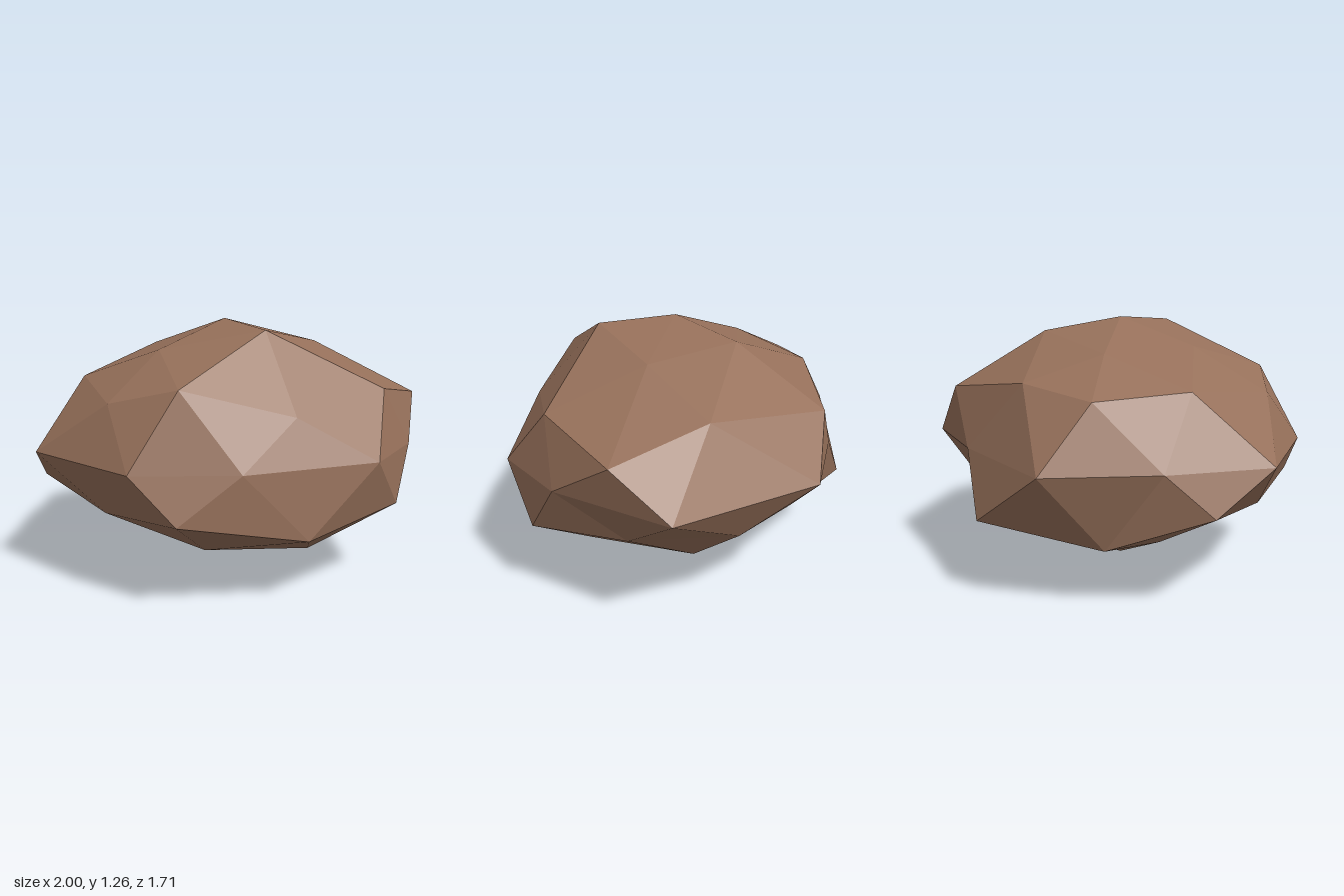
import * as THREE from 'three';

// Rings of the boulder from top to bottom; each runs from +x towards +z.
const top = [-0.06, 1.265, 0];
const crown = [[0.41, 1.145, 0], [0.1, 1.235, 0.355], [-0.4, 1.135, 0.23], [-0.41, 1.12, -0.25], [0.1, 1.195, -0.35]];
const shoulder = [[0.955, 0.865, 0], [0.2, 0.875, 0.66], [-0.64, 0.925, 0.5], [-0.7, 0.955, -0.44], [0.195, 0.925, -0.8]];
const shoulderMid = [[0.67, 0.955, 0.41], [-0.325, 1.012, 0.68], [-0.78, 0.98, 0], [-0.35, 1.0, -0.625], [0.66, 0.995, -0.36]];
const waist = [
  [0.84, 0.315], [0.585, 0.665], [-0.06, 0.815], [-0.555, 0.765], [-1, 0.3],
  [-0.905, -0.2], [-0.72, -0.7], [-0.06, -0.815], [0.44, -0.825], [0.997, -0.29],
].map(([x, z]) => [x, 0.66, z]);
const hip = [[0.735, 0.4, 0.48], [-0.35, 0.445, 0.85], [-1, 0.465, 0], [-0.33, 0.38, -0.855], [0.585, 0.42, -0.49]];
const hipMid = [[0.735, 0.395, 0], [0.245, 0.33, 0.77], [-0.67, 0.39, 0.45], [-0.715, 0.29, -0.39], [0.187, 0.4, -0.67]];
const base = [[0.33, 0.125, 0.335], [-0.2, 0.17, 0.42], [-0.5, 0.2, 0], [-0.2, 0.24, -0.44], [0.315, 0.108, -0.205]];
const bottom = [-0.06, 0, 0];

export function createModel() {
  const points = [];
  // One large triangle split in four by the points along its edges
  const facet = (a, b, c, ab, bc, ca) => {
    for (const p of [a, ab, ca, ab, b, bc, ca, bc, c, ab, bc, ca]) points.push(...p);
  };

  for (let k = 0; k < 5; k++) {
    const next = (k + 1) % 5, prev = (k + 4) % 5;
    const w = waist[2 * k], wNext = waist[2 * k + 1], wPrev = waist[(2 * k + 9) % 10];
    facet(top, shoulder[next], shoulder[k], crown[next], shoulderMid[k], crown[k]);
    facet(shoulder[k], shoulder[next], hip[k], shoulderMid[k], wNext, w);
    facet(hip[k], hip[prev], shoulder[k], hipMid[k], wPrev, w);
    facet(bottom, hip[prev], hip[k], base[prev], hipMid[k], base[k]);
  }

  const geometry = new THREE.BufferGeometry();
  geometry.setAttribute('position', new THREE.Float32BufferAttribute(points, 3));
  geometry.computeVertexNormals(); // unshared corners give flat facets

  const stone = new THREE.MeshStandardMaterial({ color: 0x96705a });
  stone.name = 'brownStone';
  stone.flatShading = true;

  const boulder = new THREE.Mesh(geometry, stone);
  boulder.name = 'boulder';
  const group = new THREE.Group();
  group.name = 'rock';
  group.add(boulder);
  return group;
}
